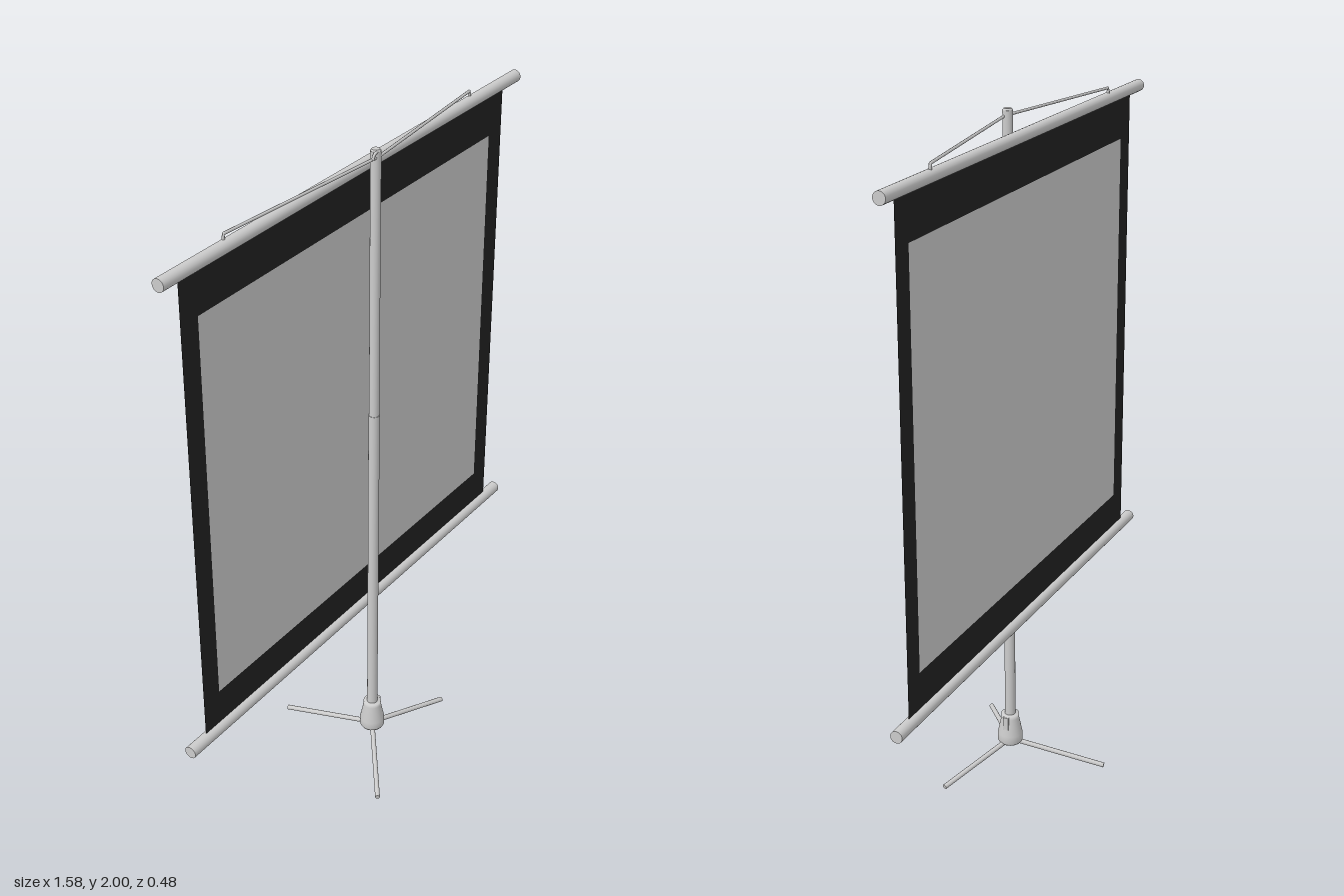
import * as THREE from 'three';

const grey = new THREE.MeshStandardMaterial({ color: 0xcccccc });
const greyFlat = new THREE.MeshStandardMaterial({ color: 0xcccccc, side: THREE.DoubleSide });
const black = new THREE.MeshStandardMaterial({ color: 0x222222, side: THREE.DoubleSide });
const V = (x, y, z) => new THREE.Vector3(x, y, z);

export function createModel() {
  const model = new THREE.Group();
  const PX = 0.007, PZ = 0.053; // axis of the pole

  const add = (name, geometry, material = grey) => {
    const mesh = new THREE.Mesh(geometry, material);
    mesh.name = name;
    model.add(mesh);
    return mesh;
  };
  // Round bar between two points
  const bar = (name, a, b, r, sides = 16) => {
    const mesh = add(name, new THREE.CylinderGeometry(r, r, a.distanceTo(b), sides));
    mesh.position.copy(a).lerp(b, 0.5);
    mesh.quaternion.setFromUnitVectors(V(0, 1, 0), b.clone().sub(a).normalize());
    return mesh;
  };
  const rect = (Type, x, y0, y1) => new Type([[-x, y0], [x, y0], [x, y1], [-x, y1]]
    .map(([px, py]) => new THREE.Vector2(px, py)));

  // Screen fabric with its dark border
  const border = rect(THREE.Shape, 0.72, 0.5, 1.93);
  border.holes.push(rect(THREE.Path, 0.655, 0.625, 1.795));
  add('screenBorder', new THREE.ShapeGeometry(border), black);
  add('screenSurface', new THREE.ShapeGeometry(rect(THREE.Shape, 0.655, 0.625, 1.795)), greyFlat);

  // Rollers holding the fabric
  bar('topRoller', V(-0.788, 1.934, 0), V(0.788, 1.934, 0), 0.018, 24);
  bar('bottomRoller', V(-0.788, 0.5, 0), V(0.788, 0.5, 0), 0.018, 24);

  // Telescopic pole: wider lower tube, narrower upper tube
  bar('pole', V(PX, 0.04, PZ), V(PX, 1.995, PZ), 0.0145, 24);
  bar('poleSleeve', V(PX, 0.1, PZ), V(PX, 1.2, PZ), 0.016, 24);

  // Hub where the legs meet
  const profile = [[0, 0.05], [0.033, 0.05], [0.038, 0.058], [0.038, 0.082],
    [0.027, 0.135], [0.027, 0.148], [0, 0.148]].map(([r, y]) => new THREE.Vector2(r, y));
  const hub = add('hub', new THREE.LatheGeometry(profile, 28));
  hub.position.set(PX, 0, PZ);
  const lever = add('hubLever', new THREE.BoxGeometry(0.014, 0.05, 0.018));
  lever.position.set(PX + 0.026, 0.12, PZ);

  // Three splayed legs
  [[0.27, 0.143], [-0.218, 0.23], [-0.047, -0.238]].forEach(([x, z], i) => {
    const foot = V(x, 0.009, z);
    const root = V(PX, 0.058, PZ);
    bar('leg' + (i + 1), root, foot, 0.0075, 12);
  });

  // Wire hanger from the pole top to hooks on the top roller
  for (const s of [1, -1]) {
    const wire = new THREE.CurvePath();
    const points = [V(PX, 1.979, PZ + 0.008), V(s * 0.545, 1.966, -0.003), V(s * 0.545, 1.948, -0.003)];
    points.slice(1).forEach((p, i) => wire.add(new THREE.LineCurve3(points[i], p)));
    add(s > 0 ? 'leftHanger' : 'rightHanger', new THREE.TubeGeometry(wire, 60, 0.0042, 8));
  }

  // Small catch and cap on the pole top
  const catchLoop = add('poleCatch', new THREE.TorusGeometry(0.016, 0.004, 8, 20, Math.PI));
  catchLoop.position.set(PX - 0.008, 1.978, PZ + 0.008);
  const cap = add('poleCap', new THREE.CylinderGeometry(0.011, 0.0145, 0.006, 24));
  cap.position.set(PX, 1.997, PZ);

  return model;
}
